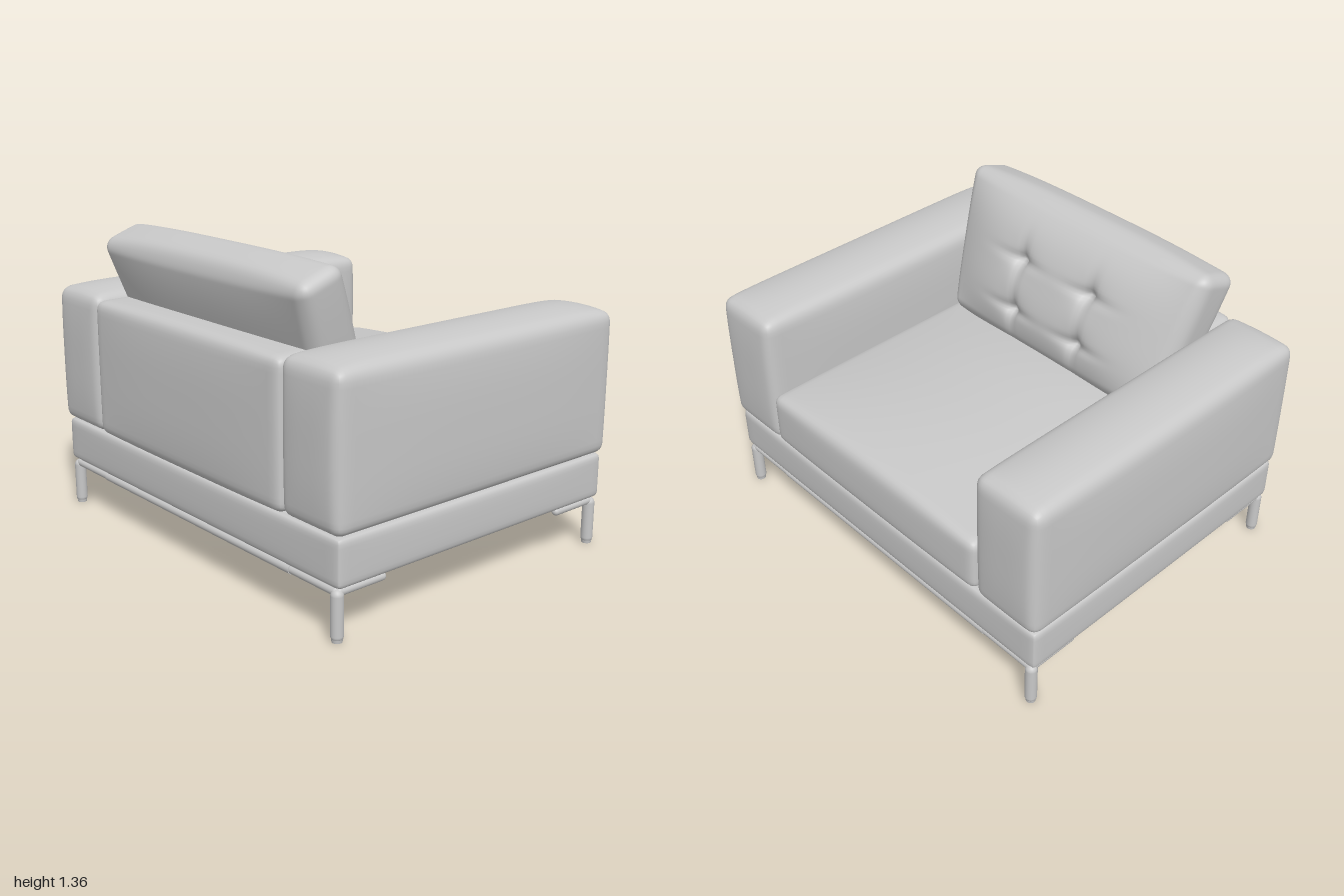
import * as THREE from 'three';
import { mergeVertices } from 'three/addons/utils/BufferGeometryUtils.js';

const upholstery = new THREE.MeshStandardMaterial({ color: 0xc8c8c8 });
upholstery.name = 'light grey';

// Rounded, padded box. half: half sizes, r: edge radius, puff: swell per axis,
// segs: divisions per axis, shape: optional extra rule applied to each vertex.
function softBox(half, r, puff, segs, shape) {
  let geo = new THREE.BoxGeometry(2, 2, 2, ...segs);
  geo.deleteAttribute('uv');
  geo.deleteAttribute('normal');
  geo = mergeVertices(geo);
  const pos = geo.attributes.position;
  const p = new THREE.Vector3(), inner = new THREE.Vector3();
  const core = half.clone().subScalar(r);
  const fade = (u) => Math.max(0, 1 - Math.abs(u) ** 3);
  for (let i = 0; i < pos.count; i++) {
    p.fromBufferAttribute(pos, i);
    // crowd the grid towards the edges, then round them
    for (const a of ['x', 'y', 'z']) p[a] = Math.sin(p[a] * Math.PI / 2) * half[a];
    inner.copy(p).clamp(core.clone().negate(), core);
    p.sub(inner).setLength(r).add(inner);
    const u = p.clone().divide(half);
    p.x += puff.x * u.x * fade(u.y) * fade(u.z);
    p.y += puff.y * u.y * fade(u.x) * fade(u.z);
    p.z += puff.z * u.z * fade(u.x) * fade(u.y);
    if (shape) shape(p, u, fade);
    pos.setXYZ(i, p.x, p.y, p.z);
  }
  geo.computeVertexNormals();
  return geo;
}

const v = (x, y, z) => new THREE.Vector3(x, y, z);

export function createModel() {
  const group = new THREE.Group();
  const add = (name, geo, x, y, z) => {
    const mesh = new THREE.Mesh(geo, upholstery);
    mesh.name = name;
    mesh.position.set(x, y, z);
    group.add(mesh);
    return mesh;
  };

  // Base frame
  add('base', softBox(v(0.75, 0.101, 0.97), 0.025, v(0.007, 0.002, 0.007), [24, 14, 24]), 0, 0.318, 0);

  // Armrests with a crowned top
  const armGeo = softBox(v(0.762, 0.312, 0.168), 0.045, v(0.014, 0, 0.018), [28, 24, 24], (p, u) => {
    if (u.y > 0) p.y += 0.032 * u.y * (1 - u.z * u.z) * (1 - Math.abs(u.x) ** 10);
  });
  for (const s of [1, -1]) add(s > 0 ? 'leftArm' : 'rightArm', armGeo, 0, 0.732, s * 0.815);

  // Back panel between the arms
  add('backPanel', softBox(v(0.12, 0.305, 0.655), 0.04, v(0.015, 0.012, 0), [16, 24, 28]), -0.65, 0.727, 0);

  // Seat cushion, domed on top
  add('seatCushion', softBox(v(0.64, 0.125, 0.655), 0.04, v(0.012, 0, 0.004), [32, 18, 32], (p, u, fade) => {
    if (u.y > 0) p.y += 0.065 * u.y * (1 - u.z * u.z) * (0.35 + 0.65 * fade(u.x));
  }), 0.132, 0.56, 0);

  // Leaning back cushion: wider at the top, tufted at four buttons
  const rows = [0.06, -0.176], cols = [0.2, -0.2];
  const cushion = softBox(v(0.11, 0.34, 0.655), 0.05, v(0.1, 0.025, 0.008), [16, 72, 96], (p, u, fade) => {
    if (u.x < 0) p.x += 0.07 * fade(u.y) * fade(u.z); // flatter rear
    if (u.x > 0.5) {
      let dent = 0;
      for (const y of rows) for (const z of cols) {
        const dy = p.y - y, dz = p.z - z;
        dent += 0.05 * Math.exp(-Math.hypot(dy, dz) / 0.035);
        // short folds running out of each button
        dent += 0.014 * Math.exp(-((dy / 0.022) ** 2) - (dz / 0.13) ** 2);
        dent += 0.014 * Math.exp(-((dz / 0.022) ** 2) - (dy / 0.1) ** 2);
      }
      p.x -= dent;
    }
    p.z *= 1 + 0.07 * u.y;
  });
  add('backCushion', cushion, -0.48, 1.0, 0).rotation.z = THREE.MathUtils.degToRad(20);

  // Legs with corner brackets
  const legGeo = new THREE.CapsuleGeometry(0.026, 0.16, 6, 20);
  legGeo.scale(1, 1, 1);
  const bracketX = new THREE.CapsuleGeometry(0.018, 0.21, 6, 16).rotateZ(Math.PI / 2);
  const bracketZ = new THREE.CapsuleGeometry(0.018, 0.25, 6, 16).rotateX(Math.PI / 2);
  for (const sx of [1, -1]) {
    for (const sz of [1, -1]) {
      add('leg', legGeo, sx * 0.725, 0.106, sz * 0.935);
      // flat foot
      add('foot', new THREE.CylinderGeometry(0.025, 0.021, 0.03, 20), sx * 0.725, 0.015, sz * 0.935);
      add('sideBracket', bracketX, sx * 0.61, 0.199, sz * 0.935);
      add('railBracket', bracketZ, sx * 0.725, 0.199, sz * 0.8);
    }
    // Long rail between the brackets
    add('rail', new THREE.CylinderGeometry(0.02, 0.02, 1.34, 16).rotateX(Math.PI / 2), sx * 0.725, 0.198, 0);
  }
  return group;
}
